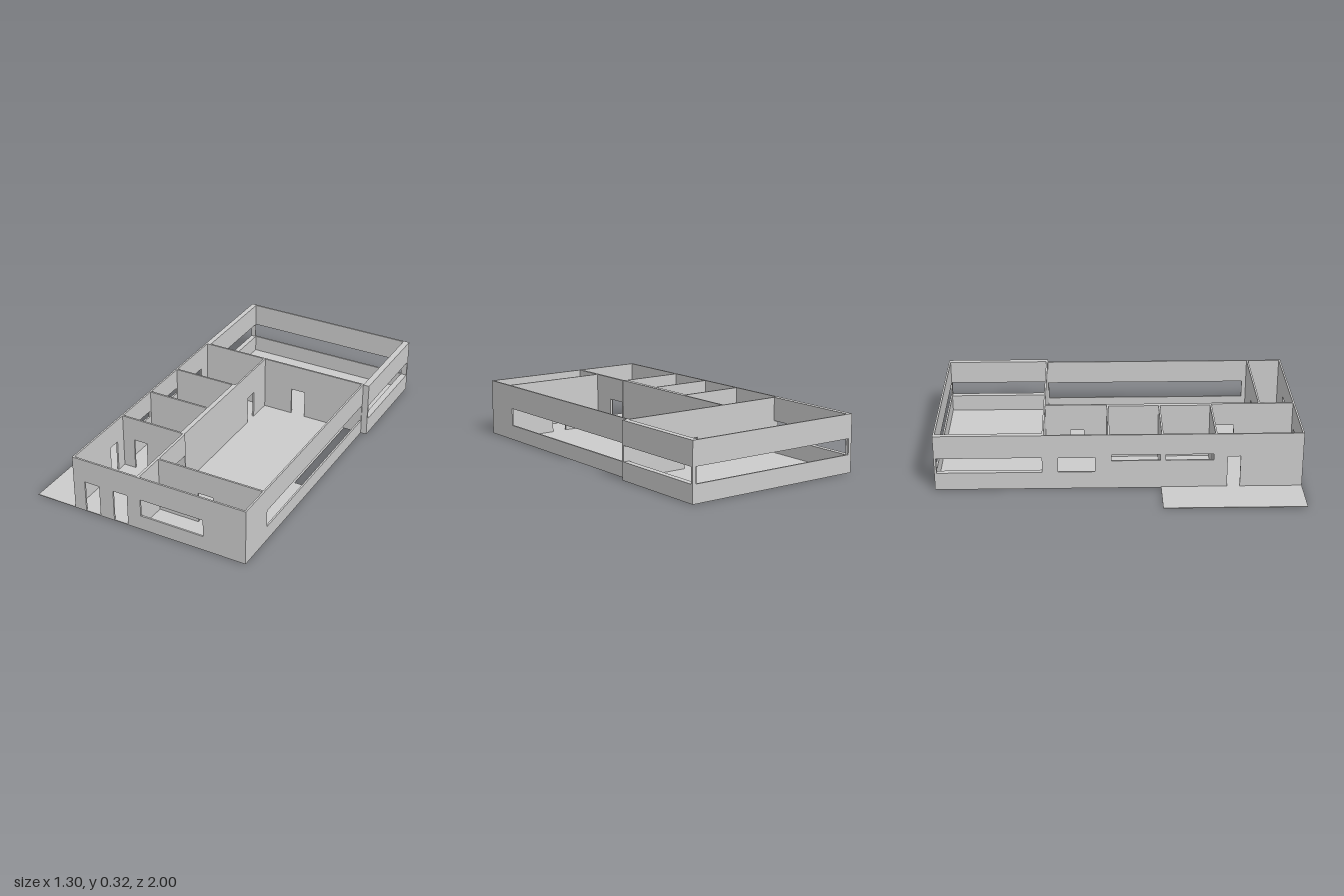
import * as THREE from 'three';

const H = 0.32;      // wall height
const FLOOR = 0.004; // slab thickness
const material = new THREE.MeshStandardMaterial({ color: 0xcccccc, side: THREE.DoubleSide });

function rectangle(Type, a0, a1, b0, b1) {
  const r = new Type();
  r.moveTo(a0, b0);
  r.lineTo(a1, b0);
  r.lineTo(a1, b1);
  r.lineTo(a0, b1);
  r.closePath();
  return r;
}

function panel(a0, a1, b0, b1, depth, holes) {
  const shape = rectangle(THREE.Shape, a0, a1, b0, b1);
  shape.holes = holes.map((h) => rectangle(THREE.Path, ...h));
  return new THREE.ExtrudeGeometry(shape, { depth, bevelEnabled: false });
}

export function createModel() {
  const house = new THREE.Group();
  house.name = 'roofless house';

  const add = (name, geometry) => {
    const mesh = new THREE.Mesh(geometry, material);
    mesh.name = name;
    house.add(mesh);
  };
  // Wall running along x, filling z0..z1; holes are [x0, x1, y0, y1]
  const wallX = (name, x0, x1, z0, z1, holes = []) =>
    add(name, panel(x0, x1, 0, H, z1 - z0, holes).translate(0, 0, z0));
  // Wall running along z, filling x0..x1; holes are [z0, z1, y0, y1]
  const wallZ = (name, z0, z1, x0, x1, holes = []) => {
    const flipped = holes.map(([a, b, c, d]) => [-b, -a, c, d]);
    add(name, panel(-z1, -z0, 0, H, x1 - x0, flipped).rotateY(Math.PI / 2).translate(x0, 0, 0));
  };
  // Flat slab on the ground; holes are [x0, x1, z0, z1]
  const slab = (name, x0, x1, z0, z1, holes = []) =>
    add(name, panel(x0, x1, z0, z1, FLOOR, holes).rotateX(Math.PI / 2).translate(0, FLOOR, 0));

  // Floors, with an open strip beside the hall
  slab('mainFloor', -0.41, 0.615, -0.41, 1, [[0.51, 0.605, -0.405, 0.24]]);
  slab('backRoomFloor', -0.41, 0.65, -1, -0.41);
  slab('patio', -0.65, -0.41, 0.23, 1);

  // Outer walls of the main block
  wallX('frontWall', -0.41, 0.615, 0.99, 1, [
    [-0.34, -0.25, FLOOR, 0.185],
    [-0.165, -0.08, FLOOR, 0.185],
    [0, 0.37, 0.085, 0.185],
  ]);
  wallZ('leftHandRibbonWall', -0.41, 0.99, 0.605, 0.615, [[-0.4, 0.77, 0.085, 0.185]]);
  wallZ('patioSideWall', -0.41, 0.99, -0.41, -0.4, [
    [-0.33, -0.13, 0.1, 0.185],
    [-0.04, 0.225, 0.165, 0.2],
    [0.255, 0.515, 0.165, 0.2],
    [0.59, 0.66, FLOOR, 0.185],
  ]);

  // Back room with a ribbon opening on three sides
  const ribbon = [0.1, 0.187];
  wallX('backRoomDividingWall', -0.41, 0.65, -0.415, -0.405, [[0.165, 0.25, FLOOR, 0.165]]);
  wallX('backWall', -0.41, 0.65, -1, -0.99, [[-0.39, 0.63, ...ribbon]]);
  wallZ('backRoomLeftWall', -0.99, -0.415, 0.615, 0.65, [[-0.988, -0.417, ...ribbon]]);
  wallZ('backRoomRightWall', -0.99, -0.415, -0.41, -0.38, [[-0.988, -0.417, ...ribbon]]);

  // Hall wall, thicker beside the two small rooms
  wallZ('hallWallBack', -0.405, -0.06, -0.02, -0.01, [[-0.265, -0.19, FLOOR, 0.165]]);
  wallZ('hallWallMiddle', -0.06, 0.53, -0.037, -0.01);
  wallZ('hallWallFront', 0.53, 0.99, -0.02, -0.005, [[0.535, 0.66, FLOOR, 0.187]]);

  // Cross partitions
  wallX('frontRoomPartition', -0.005, 0.605, 0.795, 0.805, [[0.23, 0.32, FLOOR, 0.185]]);
  wallX('entryPartition', -0.4, -0.02, 0.52, 0.53, [[-0.33, -0.25, FLOOR, 0.185]]);
  wallX('smallRoomPartition', -0.4, -0.037, 0.23, 0.24);
  wallX('rearRoomPartition', -0.4, -0.02, -0.06, -0.05);

  return house;
}
